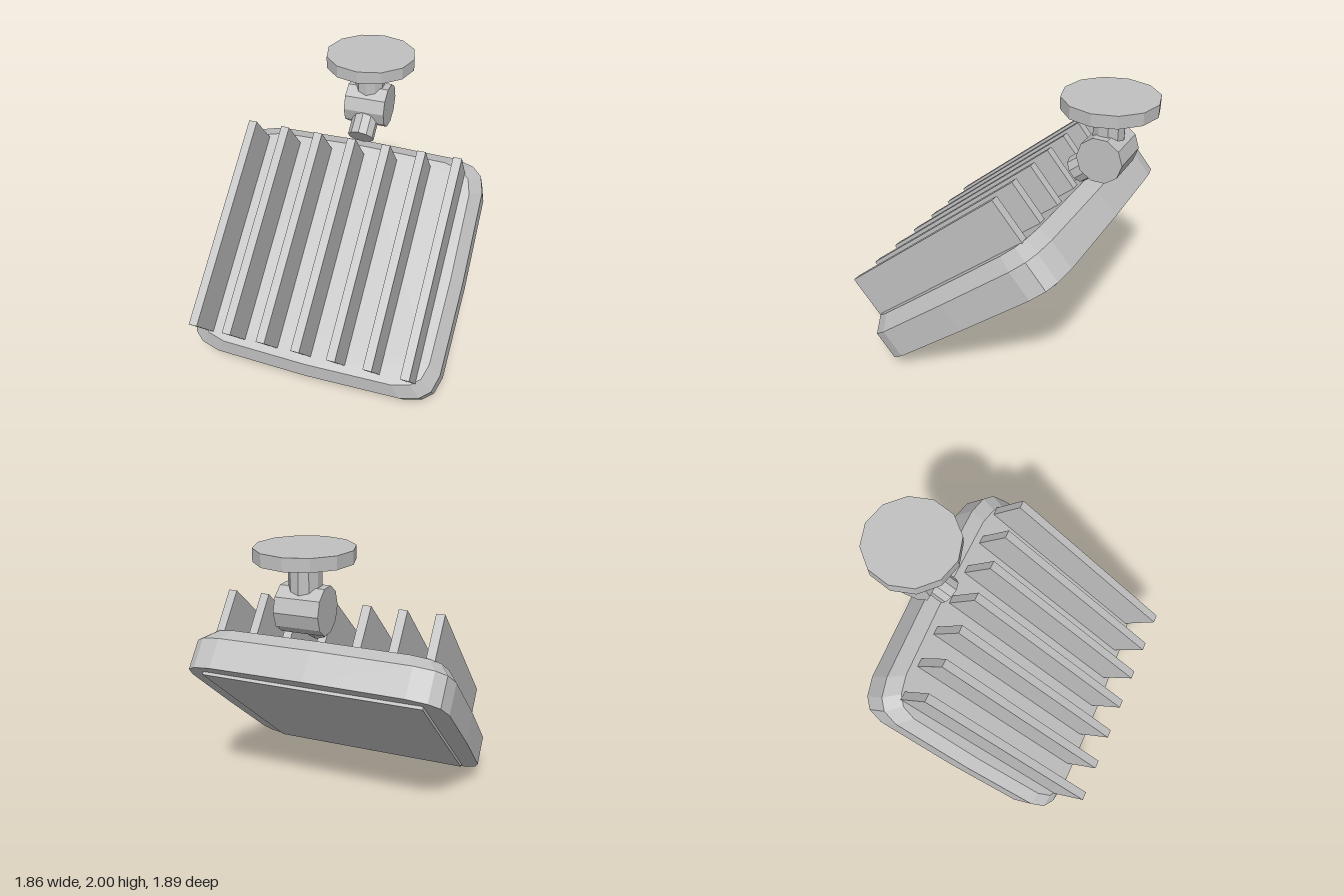
import * as THREE from 'three';
import { ConvexGeometry } from 'three/addons/geometries/ConvexGeometry.js';

export function createModel() {
  const metal = new THREE.MeshStandardMaterial({ color: 0xc0c0c0, flatShading: true });
  metal.name = 'grey metal';
  const model = new THREE.Group();
  model.name = 'floodlight';

  const add = (parent, name, geometry, x, y, z) => {
    const mesh = new THREE.Mesh(geometry, metal);
    mesh.name = name;
    mesh.position.set(x, y, z);
    parent.add(mesh);
    return mesh;
  };

  // Tilted lamp head: local y points out through the cooling fins
  const tilt = THREE.MathUtils.degToRad(40);
  const head = new THREE.Group();
  head.name = 'lampHead';
  head.position.set(0, 0.575, -0.0325);
  head.rotation.x = tilt;
  model.add(head);

  // Housing: slightly bowed rounded square, straight wall then chamfer
  const quarter = [[0.93, 0], [0.92, 0.66], [0.885, 0.78], [0.815, 0.84], [0.68, 0.875], [0, 0.89]];
  const points = [];
  for (const [height, scale] of [[0, 1], [0.216, 1], [0.31, 0.917]]) {
    for (const [x, z] of quarter) {
      for (const sx of x ? [1, -1] : [1]) {
        for (const sz of z ? [1, -1] : [1]) {
          points.push(new THREE.Vector3(sx * x * scale, height, sz * z * scale));
        }
      }
    }
  }
  add(head, 'housing', new ConvexGeometry(points), 0, 0, 0);

  // Flat lens on the underside
  add(head, 'lens', new THREE.BoxGeometry(1.55, 0.04, 1.55), 0, -0.002, 0);

  // Seven cooling fins
  for (let i = -3; i <= 3; i++) {
    add(head, 'coolingFin', new THREE.BoxGeometry(0.06, 0.32, 1.512), i * 0.25, 0.463, 0);
  }

  // Mount: ceiling disc, stem, swivel joint and short arm
  const mount = new THREE.Group();
  mount.name = 'mount';
  mount.position.set(0, 1.61, -0.628);
  model.add(mount);
  add(mount, 'ceilingDisc', new THREE.CylinderGeometry(0.316, 0.316, 0.084, 12), 0, 0.348, 0);
  add(mount, 'stem', new THREE.CylinderGeometry(0.105, 0.105, 0.306, 10), 0, 0.153, 0);
  const joint = add(mount, 'swivelJoint', new THREE.CylinderGeometry(0.157, 0.157, 0.296, 10), 0, 0, 0);
  joint.rotation.z = Math.PI / 2;
  const length = 0.272;
  const arm = add(mount, 'arm', new THREE.CylinderGeometry(0.095, 0.095, length, 10),
    0, -Math.sin(tilt) * length / 2, Math.cos(tilt) * length / 2);
  arm.rotation.x = Math.PI / 2 + tilt;

  return model;
}
